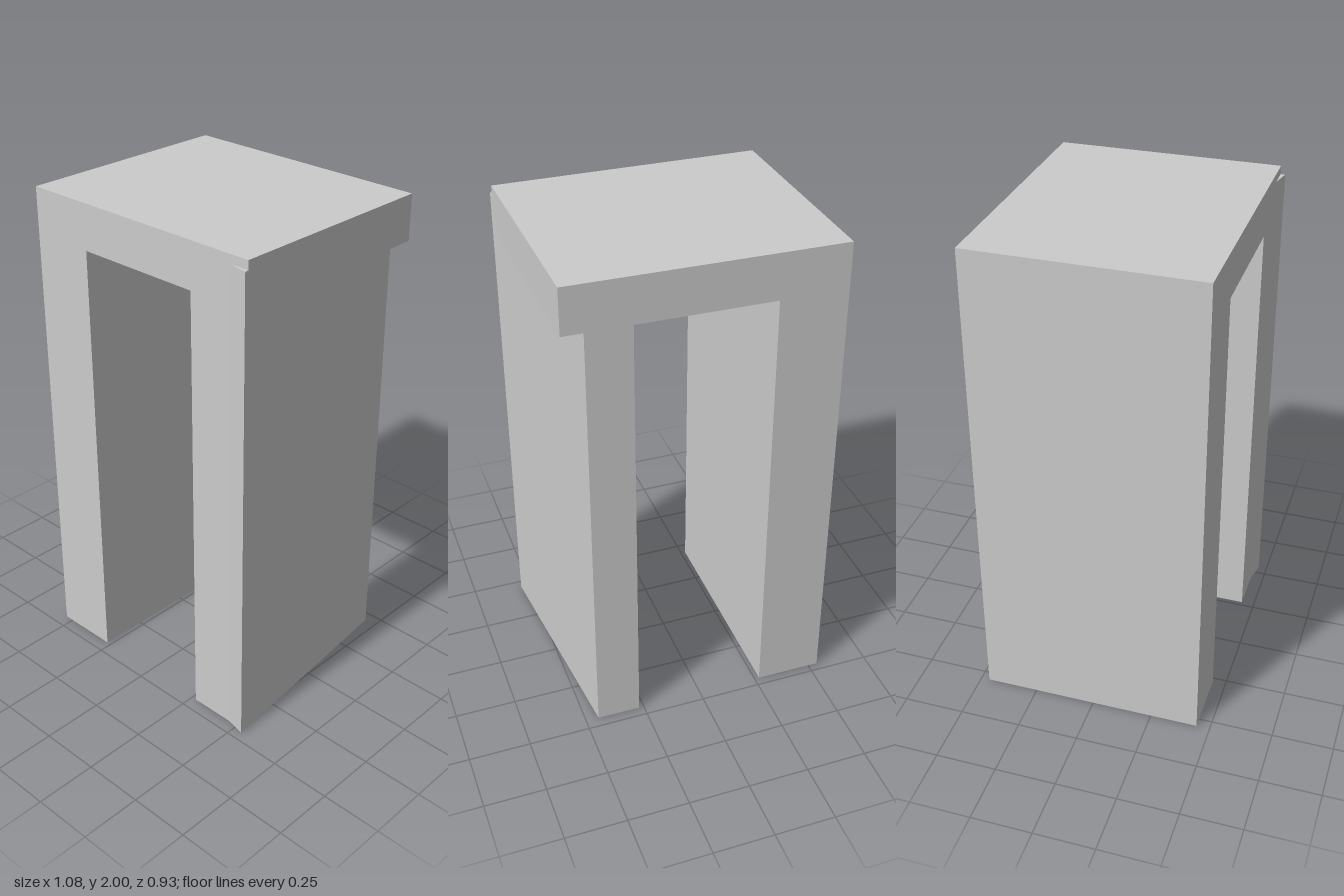
import * as THREE from 'three';

const material = new THREE.MeshStandardMaterial({ color: 0xcccccc, flatShading: true });

// Upright prism from a plan outline of [x, z] corners, between two heights
function prism(name, outline, bottom, top) {
  const shape = new THREE.Shape(outline.map(([x, z]) => new THREE.Vector2(x, -z)));
  const geometry = new THREE.ExtrudeGeometry(shape, { depth: top - bottom, bevelEnabled: false });
  geometry.rotateX(-Math.PI / 2);
  geometry.translate(0, bottom, 0);
  const mesh = new THREE.Mesh(geometry, material);
  mesh.name = name;
  return mesh;
}

export function createModel() {
  const group = new THREE.Group();
  group.name = 'archway';
  const front = 0.445;
  const under = 1.815;
  // The back runs very slightly out of square
  const back = (x) => -0.465 + (x + 0.54) * 0.0093;

  // Slab across the top
  group.add(prism('lintel', [
    [-0.54, front], [0.537, front], [0.53, back(0.53)], [-0.54, back(-0.54)],
  ], under, 2));

  // Square leg
  group.add(prism('rightLeg', [
    [-0.54, front], [-0.27, front], [-0.27, back(-0.27)], [-0.54, back(-0.54)],
  ], 0, under));

  // Tapered leg: its outer wall slants inward to the back, its front corner juts out
  // and it runs up into the lintel
  group.add(prism('leftLeg', [
    [0.27, front], [0.455, front], [0.54, 0.463], [0.447, back(0.447)], [0.27, back(0.27)],
  ], 0, 1.965));

  return group;
}
